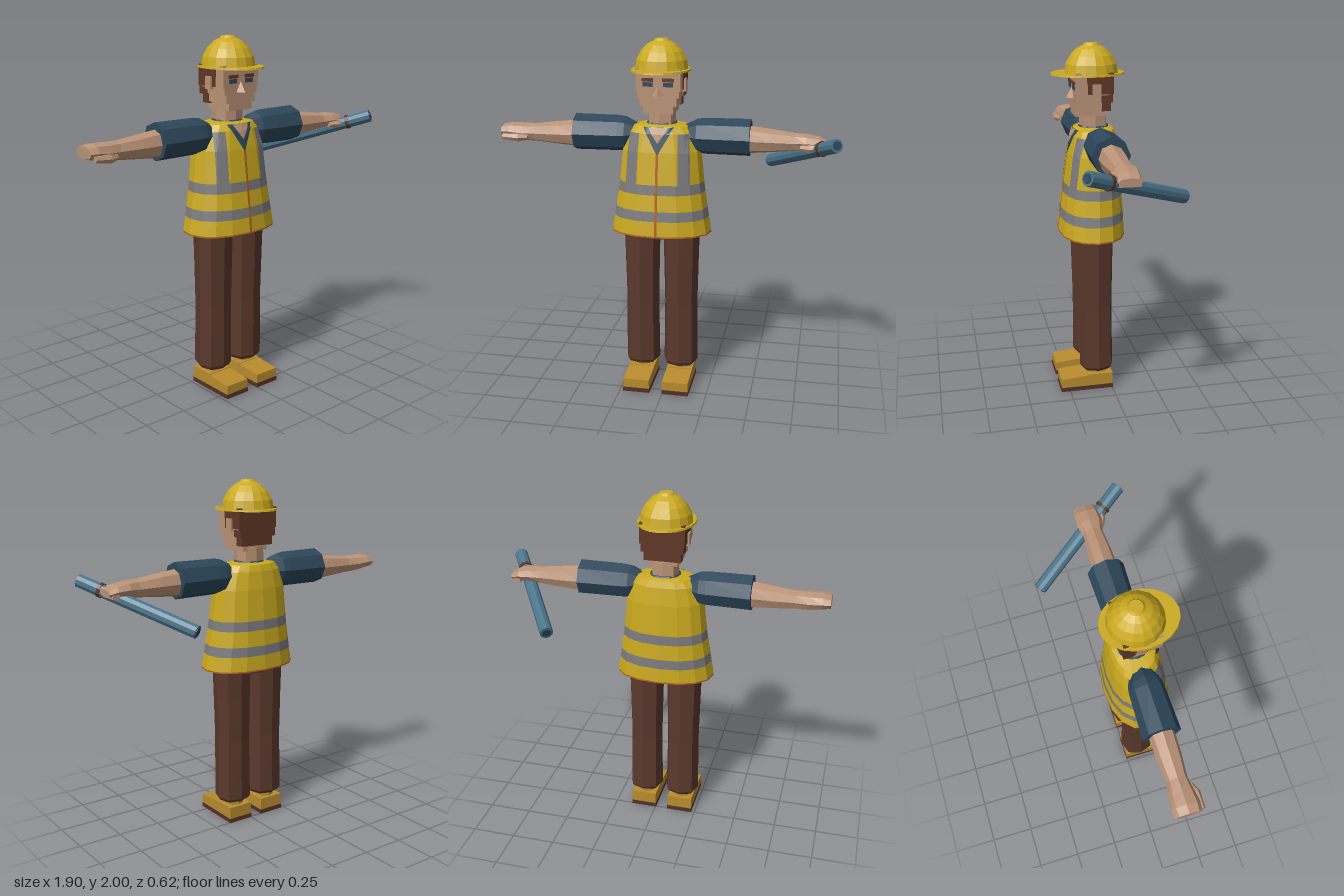
import * as THREE from 'three';

const mat = (name, color, side = THREE.FrontSide) => {
  const m = new THREE.MeshStandardMaterial({ color, side });
  m.name = name;
  return m;
};

// Faceted normals
const flat = (g) => {
  const f = g.index ? g.toNonIndexed() : g;
  f.computeVertexNormals();
  return f;
};

// Ring of n points for one section [y, halfWidth, halfDepth, cx, cz]
function ring([y, w, d, cx = 0, cz = 0], n, e) {
  const pw = (v) => Math.sign(v) * Math.pow(Math.abs(v), e);
  return Array.from({ length: n }, (_, i) => {
    const a = (i / n) * Math.PI * 2;
    return [cx + w * pw(Math.sin(a)), y, cz + d * pw(Math.cos(a))];
  });
}

// Skin stacked sections into a faceted solid or open shell
function loft(rows, { n = 8, e = 1, caps = true } = {}) {
  const pos = [], idx = [], last = rows.length - 1;
  rows.forEach((r) => ring(r, n, e).forEach((p) => pos.push(...p)));
  for (let j = 0; j < last; j++) for (let i = 0; i < n; i++) {
    const a = j * n + i, b = j * n + (i + 1) % n;
    idx.push(a, b, b + n, a, b + n, a + n);
  }
  if (caps) for (const j of [0, last]) {
    const [y, , , cx = 0, cz = 0] = rows[j], c = pos.length / 3;
    pos.push(cx, y, cz);
    for (let i = 0; i < n; i++) {
      const a = j * n + i, b = j * n + (i + 1) % n;
      idx.push(c, j ? a : b, j ? b : a);
    }
  }
  const g = new THREE.BufferGeometry();
  g.setAttribute('position', new THREE.Float32BufferAttribute(pos, 3));
  g.setIndex(idx);
  return flat(g);
}

// Vest sections from hem to neck
const VEST = [
  [0.935, 0.285, 0.185, 0, 0.09], [0.943, 0.284, 0.184, 0, 0.09], [1.025, 0.27, 0.178, 0, 0.088],
  [1.08, 0.261, 0.173, 0, 0.086], [1.17, 0.247, 0.164, 0, 0.083], [1.225, 0.24, 0.159, 0, 0.081],
  [1.4, 0.222, 0.142, 0, 0.075], [1.5, 0.19, 0.124, 0, 0.071], [1.535, 0.155, 0.11, 0, 0.07],
  [1.545, 0.085, 0.085, 0, 0.07],
];
const VN = 16, VE = 0.88;

// Depth of the faceted vest front at (x, y)
function vestZ(x, y) {
  let j = 0;
  while (j < VEST.length - 2 && VEST[j + 1][0] < y) j++;
  const t = (y - VEST[j][0]) / (VEST[j + 1][0] - VEST[j][0]);
  const pts = ring(VEST[j].map((v, k) => v + (VEST[j + 1][k] - v) * t), VN, VE);
  const ax = Math.abs(x);
  for (let i = 0; i < VN / 4; i++) {
    const [p, q] = [pts[i], pts[i + 1]];
    if (ax <= q[0]) return p[2] + (q[2] - p[2]) * (ax - p[0]) / (q[0] - p[0]);
  }
  return pts[VN / 4][2];
}

// Thin strip lying on the vest front; rows are [y, x0, x1]
function vestPatch(rows, lift) {
  const pos = [], idx = [], c = 8;
  rows.forEach(([y, x0, x1]) => {
    for (let i = 0; i <= c; i++) {
      const x = x0 + (x1 - x0) * i / c;
      pos.push(x, y, vestZ(x, y) + lift);
    }
  });
  for (let j = 0; j < rows.length - 1; j++) for (let i = 0; i < c; i++) {
    const a = j * (c + 1) + i, b = a + c + 1;
    idx.push(a, a + 1, b + 1, a, b + 1, b);
  }
  const g = new THREE.BufferGeometry();
  g.setAttribute('position', new THREE.Float32BufferAttribute(pos, 3));
  g.setIndex(idx);
  return flat(g);
}

export function createModel() {
  const D = THREE.DoubleSide;
  const yellow = mat('safetyYellow', 0xcbaa20, D), grey = mat('reflectiveGrey', 0x7b7b7e, D);
  const orange = mat('orangeTrim', 0xae5f1a, D), skin = mat('skin', 0xba9276);
  const navy = mat('shirtBlue', 0x2c475a, D), trouser = mat('trouserBrown', 0x5a382c);
  const hair = mat('hairBrown', 0x5f3625), tan = mat('shoeTan', 0xb98c2e);
  const sole = mat('soleBrown', 0x54302a), steel = mat('torchBlue', 0x4a748b);

  const root = new THREE.Group();
  const body = new THREE.Group();
  body.name = 'worker';
  body.position.x = -0.04;
  root.add(body);
  const add = (name, geo, m, parent = body) => {
    const mesh = new THREE.Mesh(geo, m);
    mesh.name = name;
    parent.add(mesh);
    return mesh;
  };
  const box = (name, m, x0, x1, y0, y1, z0, z1, parent) => {
    const mesh = add(name, new THREE.BoxGeometry(x1 - x0, y1 - y0, z1 - z0), m, parent);
    mesh.position.set((x0 + x1) / 2, (y0 + y1) / 2, (z0 + z1) / 2);
    return mesh;
  };

  // Vest bands, hem and front details
  [[0, 1, 'vestHem', orange], [1, 2, 'vestSkirt', yellow], [2, 3, 'lowerBand', grey], [3, 4, 'vestWaist', yellow],
    [4, 5, 'upperBand', grey], [5, 9, 'vestChest', yellow]].forEach(([a, b, name, m]) =>
    add(name, loft(VEST.slice(a, b + 1), { n: VN, e: VE, caps: false }), m));
  for (const s of [-1, 1]) add('braceStripe', vestPatch([[1.225, 0.115, 0.18], [1.4, 0.11, 0.172], [1.5, 0.105, 0.163]]
    .map(([y, a, b]) => s > 0 ? [y, a, b] : [y, -b, -a]), 0.004), grey);
  add('zip', vestPatch([0.94, 1.025, 1.08, 1.17, 1.225, 1.395].map((y) => [y, -0.007, 0.007]), 0.005), orange);
  add('shirtFront', vestPatch([[1.39, -0.002, 0.002], [1.4, -0.008, 0.008], [1.5, -0.065, 0.065],
    [1.535, -0.085, 0.085]], 0.004), navy);
  add('openNeck', vestPatch([[1.455, -0.002, 0.002], [1.5, -0.035, 0.035], [1.535, -0.055, 0.055]], 0.008), skin);
  add('collar', loft([[1.48, 0.1, 0.095, 0, 0.07], [1.54, 0.092, 0.09, 0, 0.07], [1.552, 0.08, 0.08, 0, 0.07]],
    { n: 12 }), navy);

  // Hips, trouser legs and shoes
  add('hips', loft([[0.9, 0.2, 0.1, 0, 0.085], [1.15, 0.2, 0.11, 0, 0.085]], { n: 12, e: 0.7 }), trouser);
  for (const s of [-1, 1]) {
    const x = s * 0.113;
    add('trouserLeg', loft([[0.12, 0.086, 0.085, x, 0.085], [0.14, 0.1, 0.098, x, 0.082], [0.5, 0.095, 0.095, x, 0.084],
      [0.75, 0.1, 0.1, x, 0.085], [0.98, 0.106, 0.105, x, 0.085]], { e: 0.8 }), trouser);
    add('ankle', loft([[0.08, 0.052, 0.06, x, 0.075], [0.13, 0.052, 0.06, x, 0.075]], { e: 0.8 }), tan);
    box('shoeSole', sole, x - 0.077, x + 0.077, 0, 0.025, -0.005, 0.302);
    box('shoeHeel', tan, x - 0.075, x + 0.075, 0.025, 0.095, -0.003, 0.145);
    // Toe slopes down to the front
    const toe = box('shoeToe', tan, x - 0.075, x + 0.075, 0.025, 0.085, 0.145, 0.3);
    const p = toe.geometry.attributes.position;
    for (let i = 0; i < p.count; i++) if (p.getY(i) > 0) p.setY(i, p.getZ(i) > 0 ? 0.022 : 0.036);
    toe.geometry.computeVertexNormals();
  }

  // Arms: built upright, then laid out sideways
  for (const s of [-1, 1]) {
    const arm = new THREE.Group();
    arm.name = s > 0 ? 'leftArm' : 'rightArm';
    arm.position.set(0, 1.477, 0.073);
    arm.rotation.z = -s * Math.PI / 2;
    body.add(arm);
    const along = (rows) => rows.map(([t, h, d, dy, dz = 0]) => [t, h, d, -s * dy, dz]);
    add('sleeve', loft(along([[0.13, 0.055, 0.06, 0.005], [0.2, 0.094, 0.09, 0], [0.24, 0.1, 0.095, 0],
      [0.49, 0.102, 0.102, 0]])), navy, arm);
    const hand = s > 0
      ? [[0.73, 0.049, 0.055, -0.015], [0.79, 0.042, 0.072, -0.01], [0.86, 0.035, 0.068, -0.015], [0.905, 0.02, 0.06, -0.025]]
      : [[0.73, 0.051, 0.055, -0.014], [0.8, 0.05, 0.066, -0.012], [0.87, 0.043, 0.075, -0.004], [0.915, 0.033, 0.07, -0.004]];
    add('forearmAndHand', loft(along([[0.47, 0.077, 0.068, -0.01], [0.6, 0.064, 0.066, -0.012], ...hand]), { e: 0.9 }), skin, arm);
    add('thumb', loft(along([[0.76, 0.016, 0.018, -0.035, 0.055], [0.81, 0.024, 0.024, -0.035, 0.072],
      [s > 0 ? 0.84 : 0.9, 0.018, 0.016, -0.03, 0.076]]), { n: 6 }), skin, arm);
  }
  // Fingers curled round the torch
  for (let i = 0; i < 4; i++) box('finger', skin, 0.85, 0.89, 1.425, 1.46, 0.015 + i * 0.03, 0.042 + i * 0.03);

  // Torch with ring and end discs
  const front = new THREE.Vector3(0.95, 1.495, 0.285), back = new THREE.Vector3(0.58, 1.272, -0.29);
  const axis = front.clone().sub(back), len = axis.length();
  const torch = new THREE.Group();
  torch.name = 'torch';
  torch.position.copy(front).add(back).multiplyScalar(0.5);
  torch.quaternion.setFromUnitVectors(new THREE.Vector3(0, 1, 0), axis.normalize());
  body.add(torch);
  const tube = (name, r, h, y, m) => { add(name, flat(new THREE.CylinderGeometry(r, r, h, 10)), m, torch).position.y = y; };
  tube('torchBody', 0.037, len, 0, steel);
  tube('torchRing', 0.042, 0.018, len / 2 - 0.14, hair);
  tube('torchLens', 0.025, 0.006, len / 2 + 0.001, navy);
  tube('torchTail', 0.025, 0.006, -len / 2 - 0.001, navy);

  // Neck and stepped head
  add('neck', loft([[1.48, 0.078, 0.078, 0, 0.072], [1.63, 0.076, 0.076, 0, 0.072]], { e: 0.7 }), skin);
  box('chin', skin, -0.082, 0.082, 1.61, 1.66, 0.01, 0.183);
  box('jaw', skin, -0.1, 0.1, 1.65, 1.705, 0.01, 0.184);
  box('cheeks', skin, -0.115, 0.115, 1.695, 1.735, 0.01, 0.185);
  box('face', skin, -0.122, 0.122, 1.73, 1.85, 0.0, 0.186);
  box('hairBack', hair, -0.126, 0.126, 1.735, 1.85, -0.02, 0.05);
  box('hairTop', hair, -0.126, 0.126, 1.79, 1.85, -0.018, 0.125);
  box('hairLower', hair, -0.119, 0.119, 1.69, 1.74, -0.018, 0.045);
  box('hairNape', hair, -0.104, 0.104, 1.64, 1.695, -0.01, 0.04);
  for (const s of [-1, 1]) {
    const side = (name, m, a, b, ...r) => box(name, m, Math.min(s * a, s * b), Math.max(s * a, s * b), ...r);
    side('sideburn', hair, 0.11, 0.126, 1.735, 1.795, 0.098, 0.12);
    side('ear', skin, 0.11, 0.136, 1.72, 1.79, 0.05, 0.096);
    side('eyebrow', hair, 0.025, 0.088, 1.782, 1.8, 0.184, 0.194);
    side('eye', navy, 0.03, 0.082, 1.755, 1.778, 0.184, 0.191);
  }
  const nose = add('nose', flat(new THREE.ConeGeometry(0.036, 0.06, 4)), skin);
  nose.position.set(0, 1.735, 0.186);
  nose.scale.x = 0.85;

  // Hard hat
  const hat = [[1.84, 0.147, 0.15], [1.89, 0.138, 0.141], [1.935, 0.113, 0.115], [1.97, 0.079, 0.08], [1.988, 0.045, 0.045], [2, 0.035, 0.035]];
  add('helmetDome', loft(hat.map(([y, w, d]) => [y, w, d, 0, 0.08]), { n: 16 }), yellow);
  add('helmetBrim', loft([[1.832, 0.162, 0.207, 0, 0.1], [1.842, 0.16, 0.204, 0, 0.1]], { n: 20 }), yellow);
  return root;
}
